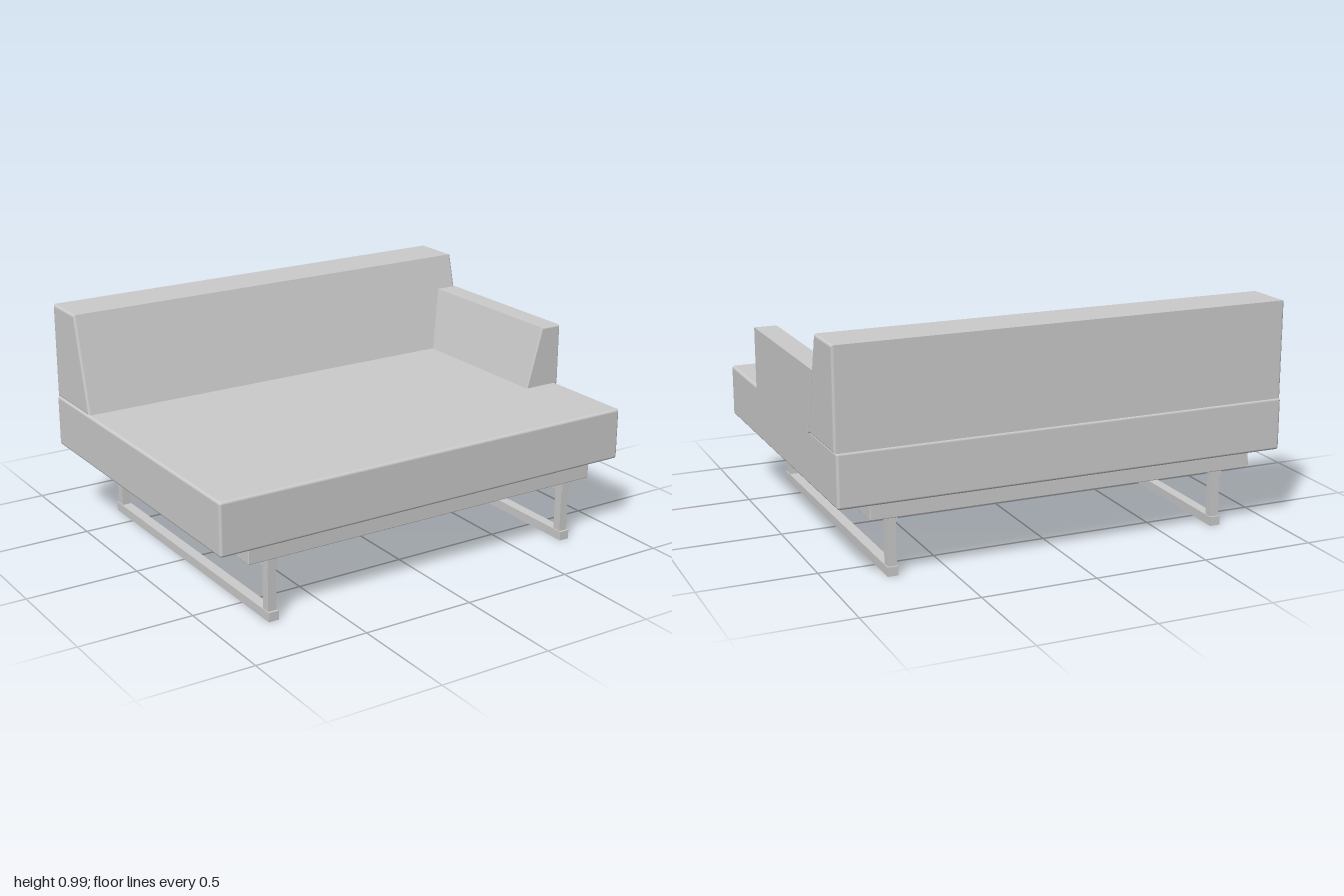
import * as THREE from 'three';
import { RoundedBoxGeometry } from 'three/addons/geometries/RoundedBoxGeometry.js';

const material = new THREE.MeshStandardMaterial({ color: 0xcccccc });

function add(parent, name, geometry) {
  const mesh = new THREE.Mesh(geometry, material);
  mesh.name = name;
  parent.add(mesh);
  return mesh;
}

// Box given by its lowest and highest corner, with optional rounded edges
function span([x0, y0, z0], [x1, y1, z1], radius = 0) {
  const size = [x1 - x0, y1 - y0, z1 - z0];
  const geometry = radius
    ? new RoundedBoxGeometry(...size, 3, radius)
    : new THREE.BoxGeometry(...size);
  return geometry.translate((x0 + x1) / 2, (y0 + y1) / 2, (z0 + z1) / 2);
}

// Cushion with a constant cross-section and softened edges, from depth 0 to length
function cushion(points, length, bevel) {
  const shape = new THREE.Shape(points.map(([x, y]) => new THREE.Vector2(x, y)));
  return new THREE.ExtrudeGeometry(shape, {
    depth: length - 2 * bevel, bevelEnabled: true, bevelSize: bevel,
    bevelThickness: bevel, bevelOffset: -bevel, bevelSegments: 3,
  }).translate(0, 0, bevel);
}

export function createModel() {
  const model = new THREE.Group();
  model.name = 'sofa';

  // Seat and the plinth under it
  add(model, 'seatCushion', span([-1, 0.34, -0.745], [0.99, 0.57, 0.745], 0.012));
  add(model, 'basePlinth', span([-0.865, 0.27, -0.717], [0.85, 0.342, 0.72], 0.004));

  // Backrest with a sloping front, running the full width
  const back = cushion(
    [[-0.742, 0.568], [-0.418, 0.568], [-0.528, 0.993], [-0.742, 0.993]], 1.995, 0.01);
  add(model, 'backrest', back.rotateY(-Math.PI / 2).translate(0.998, 0, 0));

  // Single armrest; its rear end leans to meet the sloping backrest
  const arm = cushion([[0.822, 0.563], [1, 0.563], [1, 0.842], [0.9, 0.842]], 0.73, 0.006);
  arm.translate(0, 0, -0.42);
  const p = arm.attributes.position;
  for (let i = 0; i < p.count; i++) {
    if (p.getZ(i) < -0.2) p.setZ(i, p.getZ(i) - 0.26 * (p.getY(i) - 0.565));
  }
  arm.computeVertexNormals();
  add(model, 'armrest', arm);

  // Two rectangular sled legs
  for (const [side, x] of [['right', -0.752], ['left', 0.734]]) {
    const leg = new THREE.Group();
    leg.name = side + 'SledLeg';
    leg.position.x = x;
    model.add(leg);
    const w = 0.023;
    add(leg, 'floorRail', span([-w, 0, -0.652], [w, 0.04, 0.716]));
    add(leg, 'topRail', span([-w, 0.23, -0.652], [w, 0.272, 0.716]));
    add(leg, 'frontPost', span([-0.019, 0.04, 0.664], [0.019, 0.23, 0.705]));
    add(leg, 'rearPost', span([-0.019, 0.04, -0.644], [0.019, 0.23, -0.603]));
  }

  return model;
}
